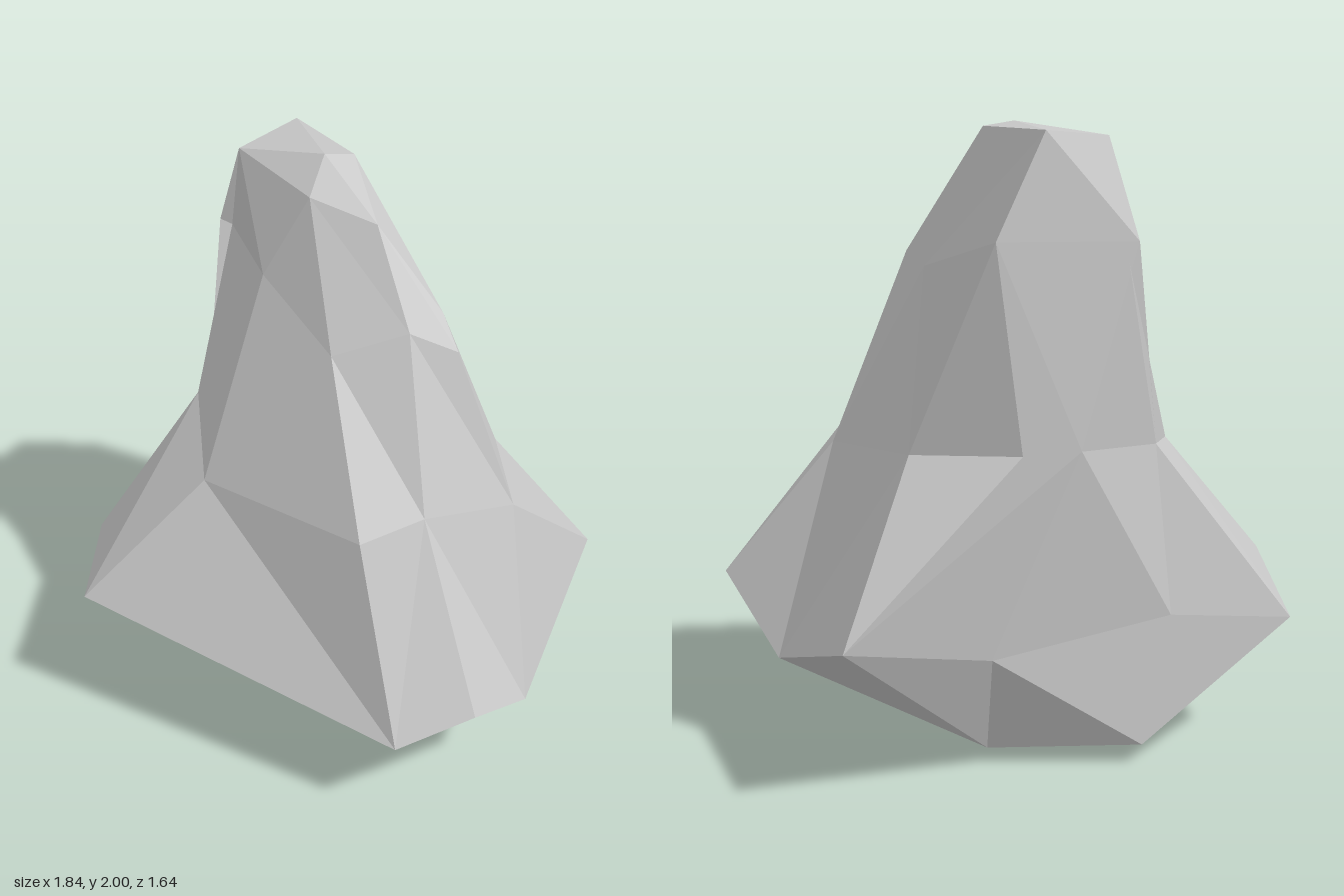
import * as THREE from 'three';

// Cross-section loops of the boulder, counter-clockwise seen from above, starting at the front.
const foot = [.06, 0, -.27];
const keel = [[.06, .15, .26], [.51, .35, .08], [.31, .05, -.6], [-.13, .06, -.8], [-.47, .33, -.23]];
const skirt = [
  [-.2, .33, .76], [.07, .41, .82], [.3, .36, .78], [.92, .48, .26], [.88, .32, -.27],
  [.84, .48, -.8], [.355, .38, -.74], [-.24, .46, -.78], [-.69, .4, -.79], [-.92, .5, -.27],
];
const waist = [
  [-.17, .96, .44], [.06, 1, .46], [.39, .97, .49], [.58, .94, .08], [.57, 1, -.62],
  [.28, 1, -.79], [.08, 1, -.78], [-.23, .99, -.69], [-.3, 1, -.63], [-.47, .94, -.16],
];
// The loop doubles back at the rear, where the stone has a small folded spur
const shoulder = [
  [-.09, 1.46, .08], [.14, 1.54, .19], [.285, 1.47, .26], [.27, 1.58, .18], [.38, 1.54, -.27],
  [.38, 1.62, -.82], [-.12, 1.62, -.76], [-.05, 1.56, -.82], [-.17, 1.62, -.27],
];
const crown = [[-.03, 1.9, -.19], [.13, 1.84, -.02], [.18, 1.98, -.28], [.21, 1.935, -.79], [-.1, 1.94, -.6]];
const peak = [.07, 2, -.28];

// Joins two loops with triangles; each letter advances along the lower (L) or upper (U) loop.
function bridge(out, lower, upper, steps) {
  let i = 0, j = 0;
  for (const step of steps) {
    const a = lower[i % lower.length], b = upper[j % upper.length];
    if (step === 'L') out.push(a, lower[++i % lower.length], b);
    else out.push(a, upper[++j % upper.length], b);
  }
}

// Closes a loop with a fan around one point.
function cap(out, loop, apex, faceDown) {
  loop.forEach((p, i) => {
    const q = loop[(i + 1) % loop.length];
    out.push(apex, ...(faceDown ? [q, p] : [p, q]));
  });
}

export function createModel() {
  const stone = new THREE.MeshStandardMaterial({ color: 0xc7c7c7 });
  stone.name = 'greyStone';
  stone.flatShading = true;

  const corners = [];
  cap(corners, keel, foot, true);
  bridge(corners, keel, skirt, 'UULUULUULUULUUL');
  bridge(corners, skirt, waist, 'ULLULULULUULLULULULU');
  bridge(corners, waist, shoulder, 'LULUULULULLULULULUL');
  bridge(corners, shoulder, crown, 'LULLULULLULLUL');
  cap(corners, crown, peak, false);

  // Unshared corners keep every facet flat
  const geometry = new THREE.BufferGeometry();
  geometry.setAttribute('position', new THREE.Float32BufferAttribute(corners.flat(), 3));
  geometry.computeVertexNormals();

  const boulder = new THREE.Mesh(geometry, stone);
  boulder.name = 'boulder';
  const group = new THREE.Group();
  group.name = 'rock';
  group.add(boulder);
  return group;
}
